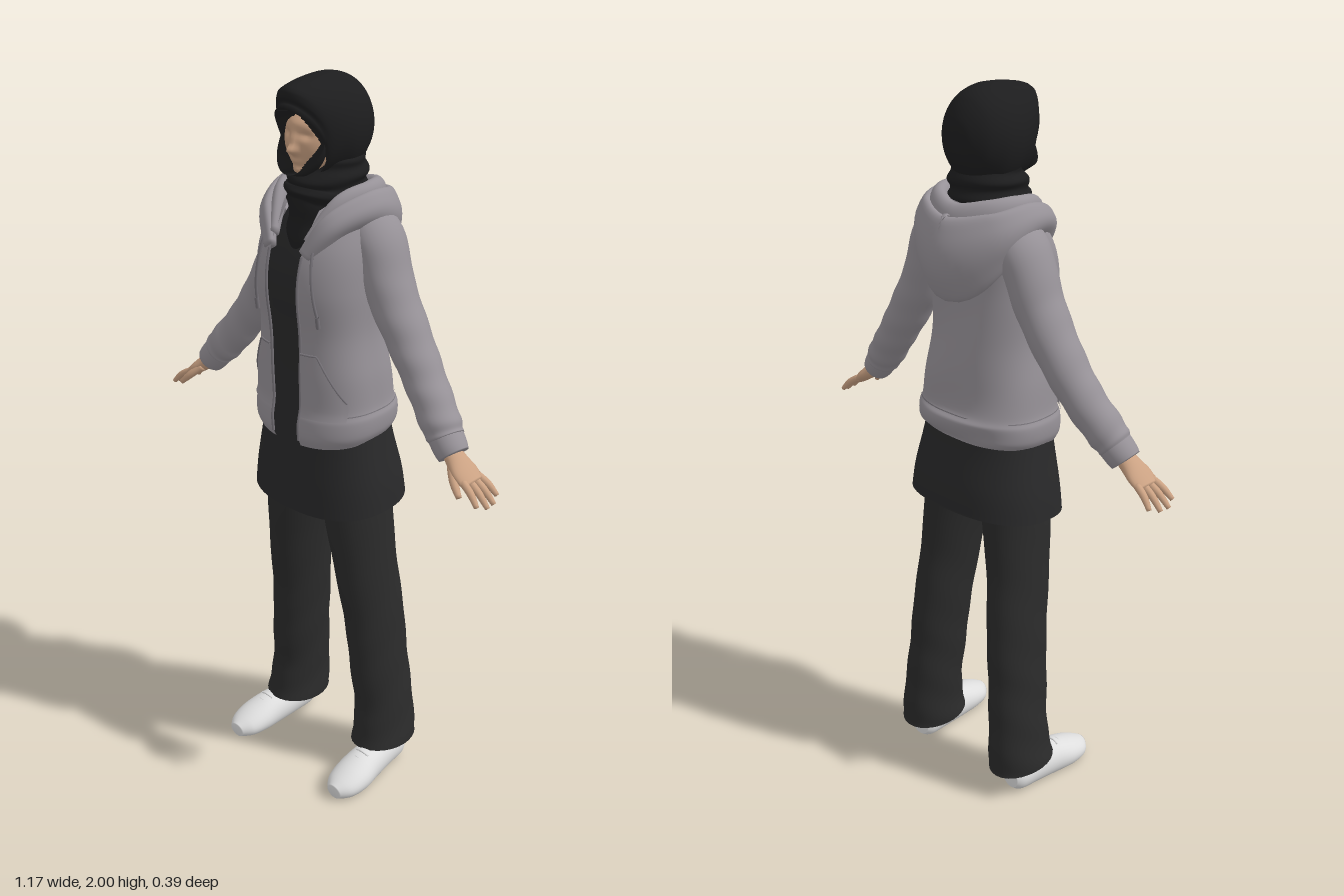
import * as THREE from 'three';

const mat = (name, color, side = THREE.DoubleSide) => {
  const m = new THREE.MeshStandardMaterial({ color, side });
  m.name = name;
  return m;
};
const V = (x, y, z) => new THREE.Vector3(x, y, z);

// Smooth interpolation through a list of numeric rows, t in 0..1
function sample(rows, t) {
  const n = rows.length - 1, f = Math.min(Math.max(t, 0), 1) * n, i = Math.min(Math.floor(f), n - 1), k = f - i;
  const at = j => rows[Math.min(Math.max(j, 0), n)];
  const [a, b, c, d] = [at(i - 1), at(i), at(i + 1), at(i + 2)];
  return b.map((_, j) => 0.5 * (2 * b[j] + (c[j] - a[j]) * k + (2 * a[j] - 5 * b[j] + 4 * c[j] - d[j]) * k * k
    + (3 * b[j] - a[j] - 3 * c[j] + d[j]) * k * k * k));
}

// Grid surface from fn(i, j); wrap joins the last column to the first
function surface(fn, nu, nv, wrap) {
  const pos = [], idx = [], cols = wrap ? nu : nu + 1;
  for (let j = 0; j <= nv; j++) for (let i = 0; i < cols; i++) pos.push(...fn(i / nu, j / nv, j).toArray());
  for (let j = 0; j < nv; j++) for (let i = 0; i < nu; i++) {
    const a = j * cols + i, b = j * cols + (i + 1) % cols;
    idx.push(a, b, a + cols, b, b + cols, a + cols);
  }
  const g = new THREE.BufferGeometry();
  g.setAttribute('position', new THREE.Float32BufferAttribute(pos, 3));
  g.setIndex(idx);
  g.computeVertexNormals();
  return g;
}

// Elliptical tube through rows [x, y, z, radius along ref, radius across]
function limb(rows, { ref = V(0, 0, 1), nu = 28, nv = 48, caps = [1, 1], ripple = () => 0, bend = p => p } = {}) {
  return surface((u, v, j) => {
    const capped = (j === 0 && caps[0]) || (j === nv && caps[1]);
    const t = j === 0 && caps[0] ? 1 / nv : j === nv && caps[1] ? 1 - 1 / nv : v;
    const c = sample(rows, t), p = sample(rows, t - 0.01), q = sample(rows, t + 0.01);
    const T = V(q[0] - p[0], q[1] - p[1], q[2] - p[2]).normalize();
    const N = ref.clone().addScaledVector(T, -ref.dot(T)).normalize();
    const B = T.clone().cross(N), a = u * Math.PI * 2, k = capped ? 0 : 1 + ripple(a, t);
    return bend(V(c[0], c[1], c[2]).addScaledVector(N, Math.cos(a) * c[3] * k).addScaledVector(B, Math.sin(a) * c[4] * k));
  }, nu, nv, true);
}

// Torso outline: row [y, half width, front z, back z], angle 0 at the front
const P = 0.82, pw = x => Math.sign(x) * Math.abs(x) ** P;
function torso(r, a, tilt) {
  const c = Math.cos(a);
  return V(r[1] * pw(Math.sin(a)), r[0] - tilt * c, (r[2] + r[3]) / 2 + (r[2] - r[3]) / 2 * pw(c));
}

const JACKET = [[1.075, .182, .155, -.135], [1.1, .194, .165, -.147], [1.14, .196, .163, -.15], [1.17, .187, .156, -.138],
  [1.25, .18, .158, -.128], [1.36, .165, .16, -.115], [1.48, .168, .172, -.11], [1.58, .165, .155, -.11],
  [1.66, .148, .11, -.11], [1.7, .122, .075, -.1], [1.73, .085, .05, -.08]];
const TUNIC = [[.873, .222, .155, -.165], [.95, .212, .15, -.155], [1.07, .188, .138, -.128], [1.2, .168, .133, -.115],
  [1.36, .148, .135, -.1], [1.5, .145, .142, -.095], [1.6, .125, .115, -.09], [1.68, .09, .07, -.07]];
const hemTilt = v => 0.018 * Math.max(0, 1 - v * 2.5);

// Point on the jacket front at a given x and y, lifted by off
function onJacket(x, y, off = 0) {
  let lo = 0, hi = 1;
  for (let i = 0; i < 24; i++) {
    const m = (lo + hi) / 2;
    const r = sample(JACKET, m);
    if (r[0] - hemTilt(m) < y) lo = m; else hi = m;
  }
  const r = sample(JACKET, lo), a = Math.asin(Math.min(1, Math.abs(x) / r[1]) ** (1 / P));
  const p = torso(r, a * Math.sign(x), 0);
  return V(p.x * (1 + off * 2), y, p.z + off);
}
const tube = (pts, r, n = 30) => new THREE.TubeGeometry(new THREE.CatmullRomCurve3(pts), n, r, 6);
const range = (n, f) => Array.from({ length: n }, (_, i) => f(i / (n - 1)));

export function createModel() {
  const root = new THREE.Group();
  const M = {
    grey: mat('hoodieGrey', 0x979298), seam: mat('seamGrey', 0x78747a), scarf: mat('scarfBlack', 0x1d1d1e),
    tunic: mat('tunicBlack', 0x29292a), trousers: mat('trouserBlack', 0x2b2b2b),
    skin: mat('skin', 0xcba283), shoe: mat('shoeWhite', 0xdedede),
  };
  const add = (name, geo, m, parent = root) => {
    const mesh = new THREE.Mesh(geo, m);
    mesh.name = name;
    parent.add(mesh);
    return mesh;
  };
  const UP = V(0, 1, 0);

  // Face: a sphere shaped by small bumps
  const face = new THREE.SphereGeometry(1, 64, 64);
  const fp = face.attributes.position;
  const bumps = [[0, 1.826, .024, .011, .012], [0, 1.85, .01, .008, .02], [.031, 1.862, -.01, .014, .009],
    [-.031, 1.862, -.01, .014, .009], [0, 1.797, .008, .02, .008], [0, 1.77, .024, .024, .016], [0, 1.89, .006, .05, .014]];
  for (let i = 0; i < fp.count; i++) {
    const x = fp.getX(i) * .08, y = 1.845 + fp.getY(i) * .098;
    let z = .035 + fp.getZ(i) * .087;
    if (fp.getZ(i) > 0) for (const [bx, by, h, sx, sy] of bumps) z += h * Math.exp(-(((x - bx) / sx) ** 2) - ((y - by) / sy) ** 2);
    fp.setXYZ(i, x, y, z);
  }
  face.computeVertexNormals();
  add('face', face, M.skin);

  // Scarf: hood around the face and folded wrap at the neck
  add('scarfHood', limb([[0, 1.846, .07, .084, .069], [0, 1.846, .09, .09, .076], [0, 1.85, .075, .106, .09],
    [0, 1.862, .035, .126, .104], [0, 1.868, 0, .132, .108], [0, 1.872, -.04, .122, .102],
    [0, 1.872, -.08, .094, .08], [0, 1.872, -.104, .055, .045], [0, 1.872, -.112, .02, .015]], {
    ref: UP, nu: 48, caps: [0, 1],
    bend: p => {
      const d = (p.y - 1.846) / .09, w = Math.max(0, Math.min(1, (p.z - .02) / .06));
      p.z += w * (d > 0 ? .03 : .014) * d * d;
      return p;
    },
  }), M.scarf);
  add('scarfWrap', limb([[0, 1.56, .118, .008, .02], [0, 1.6, .085, .044, .055], [0, 1.65, .035, .092, .084],
    [0, 1.7, .012, .108, .096], [0, 1.745, .002, .1, .1], [0, 1.785, -.01, .088, .097], [0, 1.82, -.02, .07, .08]], {
    nu: 56, nv: 90, ripple: (a, t) => .045 * Math.sin(t * 36 + 5 * Math.cos(a) + Math.sin(a)),
  }), M.scarf);

  // Tunic with a flared hem
  add('tunic', surface((u, v) => torso(sample(TUNIC, v), u * Math.PI * 2, hemTilt(v)), 56, 50, true), M.tunic);

  // Open jacket
  const jacket = new THREE.Group();
  jacket.name = 'jacket';
  root.add(jacket);
  const gap = v => .046 + .012 * v;
  add('jacketBody', surface((u, v) => {
    const r = sample(JACKET, v), a0 = Math.asin((gap(v) / r[1]) ** (1 / P)), a = a0 + u * (2 * Math.PI - 2 * a0);
    const p = torso(r, a, hemTilt(v));
    const back = Math.max(0, -Math.cos(a));
    p.z += .004 * back * Math.sin(v * 24 + 3 * Math.sin(a));
    return p;
  }, 72, 70, false), M.grey, jacket);
  add('hemSeam', surface((u, v) => {
    const a = .28 + u * (2 * Math.PI - .56), p = torso(sample(JACKET, .27 + v * .008), a, hemTilt(.27));
    return V(p.x * 1.008, p.y, p.z * 1.008);
  }, 60, 1, false), M.seam, jacket);

  // Lowered hood: outer drape and inner fold
  const mirrorRows = half => [...half, ...half.slice(0, -1).reverse().map(([x, ...r]) => [-x, ...r])];
  const hoodRows = [[.06, 1.57, .148, .02, .014], [.112, 1.65, .1, .034, .024], [.142, 1.68, 0, .045, .03],
    [.115, 1.645, -.095, .07, .036], [0, 1.59, -.148, .108, .046]];
  const foldRows = [[.058, 1.6, .138, .015, .012], [.102, 1.69, .065, .03, .02], [.118, 1.712, -.02, .032, .022],
    [.085, 1.7, -.085, .04, .026], [0, 1.67, -.118, .055, .032]];
  add('hoodDrape', limb(mirrorRows(hoodRows), { ref: UP, nu: 36, nv: 70, ripple: a => .05 * Math.cos(4 * a) }), M.grey, jacket);
  add('hoodFold', limb(mirrorRows(foldRows), { ref: UP, nv: 70 }), M.grey, jacket);

  for (const s of [1, -1]) {
    const side = s > 0 ? 'left' : 'right';
    const flip = rows => rows.map(([x, ...r]) => [x * s, ...r]);

    // Zip edge, pocket and drawstring
    add(side + 'ZipEdge', tube(range(12, t => onJacket(s * (.047 + .01 * t), 1.075 + t * .5, .001)), .004), M.seam, jacket);
    const outer = y => y < 1.19 ? .165 : .165 - (y - 1.19) * .5;
    add(side + 'Pocket', surface((u, v) => {
      const y = 1.145 + v * .175;
      return onJacket(s * (.055 + u * (outer(y) - .055)), y, .006);
    }, 14, 14, false), M.grey, jacket);
    add(side + 'PocketEdge', tube([...range(6, t => onJacket(s * (.055 + .045 * t), 1.32, .006)),
      ...range(8, t => { const y = 1.315 - .12 * t; return onJacket(s * outer(y), y, .006); })], .003), M.seam, jacket);
    add(side + 'Drawstring', tube(range(8, t => onJacket(s * (.085 + .022 * t), 1.6 - .17 * t, .007)), .004), M.seam, jacket);
    add(side + 'StringTip', tube(range(3, t => onJacket(s * .108, 1.43 - .03 * t, .008)), .006, 6), M.seam, jacket);

    // Sleeve with creases, ribbed cuff
    add(side + 'Sleeve', limb(flip([[.1, 1.655, -.02, .07, .055], [.15, 1.6, -.025, .076, .06], [.197, 1.48, -.022, .07, .06],
      [.265, 1.365, -.02, .063, .056], [.335, 1.265, -.01, .057, .052], [.4, 1.185, .008, .053, .051],
      [.425, 1.155, .014, .046, .044]]), {
      nv: 70, ripple: (a, t) => .035 * t * Math.sin(t * 48 + 2 * Math.sin(a)),
    }), M.grey, jacket);
    add(side + 'Cuff', limb(flip([[.41, 1.172, .011, .043, .041], [.42, 1.16, .013, .047, .044], [.442, 1.135, .018, .045, .043],
      [.455, 1.12, .02, .04, .04]]), { nv: 16 }), M.grey, jacket);

    // Hand
    const hand = new THREE.Group();
    hand.name = side + 'Hand';
    root.add(hand);
    add('palm', limb(flip([[.44, 1.135, .02, .025, .022], [.465, 1.113, .023, .032, .022], [.495, 1.09, .025, .042, .018],
      [.525, 1.066, .024, .038, .013]]), { nv: 20 }), M.skin, hand);
    [[.052, .068, .572, 1.03], [.033, .038, .584, 1.02], [.014, .008, .58, 1.02], [-.004, -.022, .565, 1.03]].forEach(([z0, z1, x, y], i) =>
      add('finger' + (i + 1), limb(flip([[.505, 1.082, z0, .01, .01], [(.505 + x) / 2 + .004, (1.082 + y) / 2 + .004, (z0 + z1) / 2, .0098, .0095],
        [x, y, z1, .006, .006]]), { nu: 10, nv: 12 }), M.skin, hand));
    add('thumb', limb(flip([[.465, 1.105, .04, .014, .012], [.495, 1.075, .066, .012, .011], [.525, 1.045, .08, .007, .007]]),
      { nu: 12, nv: 12 }), M.skin, hand);

    // Wide trouser leg
    add(side + 'TrouserLeg', limb(flip([[.178, .085, -.05, .106, .083], [.171, .2, -.056, .096, .074], [.158, .35, -.045, .096, .071],
      [.145, .5, -.036, .098, .071], [.128, .68, -.014, .1, .075], [.108, .86, -.002, .106, .085], [.09, 1.02, 0, .105, .088]]), {
      nv: 70, caps: [0, 1], ripple: (a, t) => .018 * (1 - t) * Math.sin(t * 40 + 3 * Math.cos(a)),
    }), M.trousers);

    // Shoe with flat sole and laces
    add(side + 'Shoe', limb(flip([[.185, .045, -.105, .03, .028], [.187, .045, -.08, .046, .042], [.191, .045, -.02, .052, .046],
      [.197, .042, .05, .053, .052], [.203, .034, .11, .045, .057], [.205, .026, .16, .033, .048], [.205, .022, .193, .02, .022]]), {
      ref: UP, nu: 32, bend: p => { p.y = Math.max(p.y, .004 - .004); return p; },
    }), M.shoe);
    for (let i = 0; i < 3; i++) {
      const z = .065 + i * .02, y = .095 - i * .009;
      add(side + 'Lace' + (i + 1), tube([V(s * .178, y - .006, z), V(s * .2, y, z + .003), V(s * .222, y - .006, z)], .003, 8), M.shoe);
    }
  }
  return root;
}
